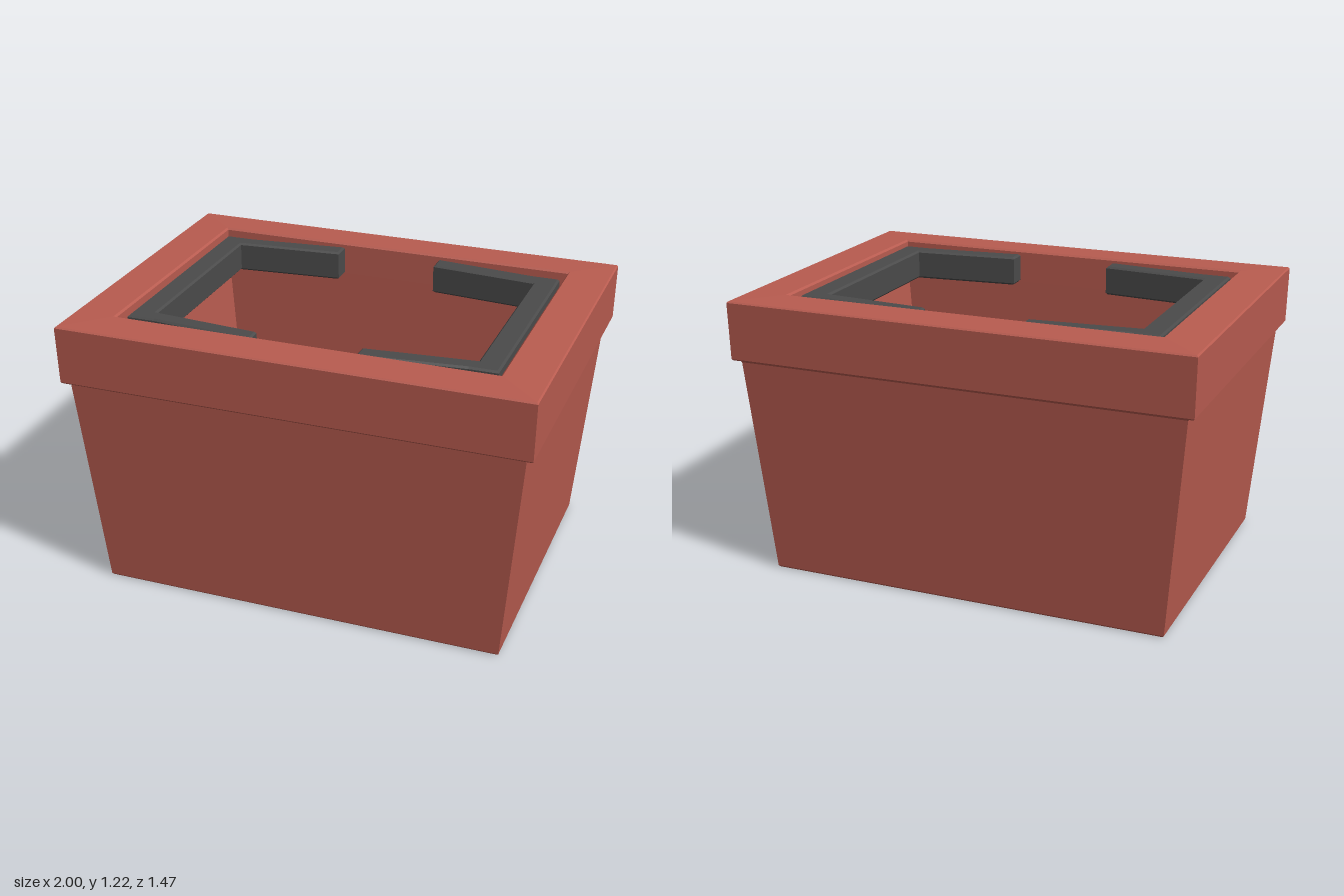
import * as THREE from 'three';

const terracotta = new THREE.MeshStandardMaterial({ color: 0xb95c50 });
terracotta.name = 'terracotta';
const charcoal = new THREE.MeshStandardMaterial({ color: 0x4b4b4b });
charcoal.name = 'charcoal';

// Skin a stack of rectangles [halfX, halfZ, y], capping the first and last
function rectLoft(rings) {
  const corners = rings.map(([x, z, y]) => [[-x, y, z], [x, y, z], [x, y, -z], [-x, y, -z]]);
  const pos = [];
  const quad = (a, b, c, d) => pos.push(...a, ...b, ...c, ...a, ...c, ...d);
  for (let i = 0; i < corners.length - 1; i++) {
    for (let j = 0; j < 4; j++) {
      const k = (j + 1) % 4;
      quad(corners[i][j], corners[i][k], corners[i + 1][k], corners[i + 1][j]);
    }
  }
  const first = corners[0], last = corners[corners.length - 1];
  quad(first[3], first[2], first[1], first[0]);
  quad(...last);
  const geo = new THREE.BufferGeometry();
  geo.setAttribute('position', new THREE.Float32BufferAttribute(pos, 3));
  geo.computeVertexNormals();
  return geo;
}

// C-shaped clip with splayed arms, lying flat
function clipGeometry(height) {
  const b = 0.008;
  const half = [[0.225, 0.55], [0.67, 0.503], [0.79, 0.503]];
  const inner = [[0.69, 0.428], [0.225, 0.47]];
  const outline = [
    ...half,
    ...half.map(([x, z]) => [x, -z]).reverse(),
    ...inner.map(([x, z]) => [x, -z]).reverse(),
    ...inner,
  ];
  const shape = new THREE.Shape(outline.map(([x, z]) => new THREE.Vector2(x, z)));
  const geo = new THREE.ExtrudeGeometry(shape, {
    depth: height - 2 * b, bevelEnabled: true, bevelSize: b, bevelThickness: b,
    bevelOffset: -b, bevelSegments: 1,
  });
  geo.rotateX(Math.PI / 2);
  geo.translate(0, -b, 0);
  return geo;
}

export function createModel() {
  const group = new THREE.Group();
  group.name = 'planter';

  // Tapered tub with overhanging rim and hollow inside
  const tub = new THREE.Mesh(rectLoft([
    [0.873, 0.635, 0],
    [0.88, 0.642, 0.008],
    [0.963, 0.702, 0.945],
    [0.97, 0.709, 0.957],
    [0.99, 0.725, 0.957],
    [0.995, 0.73, 0.963],
    [1.0, 0.734, 1.204],
    [0.994, 0.728, 1.21],
    [0.82, 0.565, 1.215],
    [0.812, 0.557, 1.207],
    [0.81, 0.555, 1.07],
    [0.74, 0.547, 0.1],
  ]), terracotta);
  tub.name = 'tub';
  group.add(tub);

  // Pair of clips inside the opening
  const clip = clipGeometry(0.13);
  for (const [name, turn] of [['leftClip', 0], ['rightClip', Math.PI]]) {
    const mesh = new THREE.Mesh(clip, charcoal);
    mesh.name = name;
    mesh.position.y = 1.2;
    mesh.rotation.y = turn;
    group.add(mesh);
  }
  return group;
}
